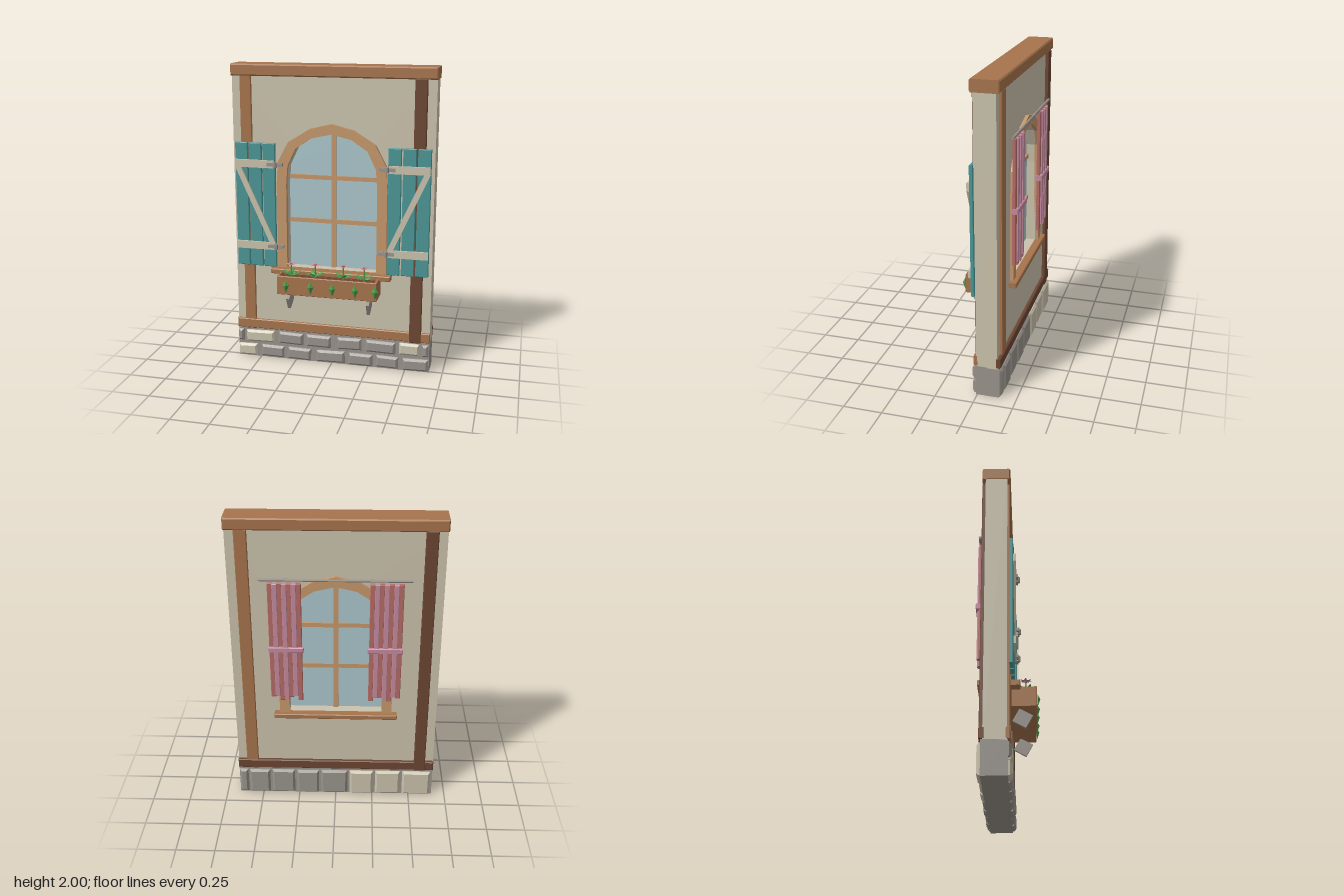
import * as THREE from 'three';

const mat = (name, color, opts = {}) => {
  const m = new THREE.MeshStandardMaterial({ color, flatShading: true, side: THREE.DoubleSide, ...opts });
  m.name = name;
  return m;
};
const M = {
  cream: mat('cream plaster', 0xcac2ac),
  brown: mat('brown wood', 0xa6744c),
  dark: mat('dark wood', 0x6c4633),
  light: mat('light wood', 0xc5976a),
  teal: mat('teal paint', 0x4c9696),
  glass: mat('glass blue', 0xaac6cb),
  stone: mat('grey stone', 0x99938c),
  pink: mat('mauve pink', 0xc48a9f),
  rose: mat('rose red', 0xb56b66),
  green: mat('leaf green', 0x4f9a48),
};

function add(parent, name, geo, material, x = 0, y = 0, z = 0) {
  const m = new THREE.Mesh(geo, material);
  m.name = name;
  m.position.set(x, y, z);
  parent.add(m);
  return m;
}

// Box given by its bounds, with optional chamfered edges
function box(parent, name, material, [x0, x1], [y0, y1], [z0, z1], c = 0) {
  const w = x1 - x0, h = y1 - y0, d = z1 - z0;
  let g;
  if (c) {
    const a = w / 2 - c, b = h / 2 - c;
    const s = new THREE.Shape([[-a, -b], [a, -b], [a, b], [-a, b]].map(p => new THREE.Vector2(...p)));
    g = new THREE.ExtrudeGeometry(s, { depth: d - 2 * c, bevelEnabled: true, bevelSize: c, bevelThickness: c, bevelSegments: 1 });
    g.translate(0, 0, c - d / 2);
  } else g = new THREE.BoxGeometry(w, h, d);
  return add(parent, name, g, material, (x0 + x1) / 2, (y0 + y1) / 2, (z0 + z1) / 2);
}

// Arched outline from a half profile running from the springing to the crown
const OUTER = [[0.365, 1.23], [0.355, 1.38], [0.285, 1.51], [0.14, 1.6], [0, 1.635]];
const INNER = [[0.3, 1.23], [0.29, 1.355], [0.235, 1.47], [0.13, 1.54], [0, 1.57]];
function arch(half, bottom) {
  const pts = [[half[0][0], bottom], ...half];
  const left = pts.slice(0, -1).reverse().map(([x, y]) => [-x, y]);
  return [...pts, ...left].map(p => new THREE.Vector2(...p));
}
const extrude = (shape, z0, z1) =>
  new THREE.ExtrudeGeometry(shape, { depth: z1 - z0, bevelEnabled: false }).translate(0, 0, z0);

// Pointed leaf along +z with a raised rib
function leafGeo(w, l, h) {
  const b = [0, 0, 0], p = [-w, 0, 0.4 * l], q = [w, 0, 0.4 * l], r = [0, h, 0.4 * l], t = [0, 0, l];
  const tris = [b, p, r, p, t, r, b, r, q, r, t, q];
  const g = new THREE.BufferGeometry();
  g.setAttribute('position', new THREE.Float32BufferAttribute(tris.flat(), 3));
  g.computeVertexNormals();
  return g;
}

function buildWall(root) {
  const g = new THREE.Group();
  g.name = 'wall';
  root.add(g);
  const s = new THREE.Shape([[-0.66, 0.2], [0.66, 0.2], [0.66, 1.93], [-0.66, 1.93]].map(p => new THREE.Vector2(...p)));
  s.holes.push(new THREE.Path(arch(INNER, 0.665)));
  add(g, 'plasterWall', extrude(s, -0.13, 0.005), M.cream);

  // Timber beams and posts
  box(g, 'topBeam', M.brown, [-0.665, 0.665], [1.925, 2], [-0.152, 0.025], 0.008);
  box(g, 'frontBottomBeam', M.brown, [-0.662, 0.662], [0.21, 0.275], [-0.005, 0.024], 0.005);
  box(g, 'backBottomBeam', M.dark, [-0.662, 0.662], [0.21, 0.275], [-0.152, -0.12], 0.005);
  box(g, 'frontRightPost', M.brown, [-0.605, -0.53], [0.205, 1.93], [-0.005, 0.02], 0.004);
  box(g, 'frontLeftPost', M.dark, [0.525, 0.603], [0.205, 1.93], [-0.005, 0.027], 0.004);
  box(g, 'backLeftPost', M.brown, [0.525, 0.603], [0.205, 1.93], [-0.148, -0.12], 0.004);
  box(g, 'backRightPost', M.dark, [-0.605, -0.53], [0.205, 1.93], [-0.154, -0.12], 0.004);

  // Stone footing
  box(g, 'footing', M.stone, [-0.66, 0.66], [0, 0.205], [-0.14, 0.01]);
  const upper = [[-0.66, -0.62], [-0.6, -0.4], [-0.37, -0.2], [-0.175, -0.005], [0.04, 0.205], [0.235, 0.435], [0.46, 0.595], [0.612, 0.655]];
  const lower = [[-0.655, -0.525], [-0.495, -0.335], [-0.305, -0.145], [-0.105, 0.09], [0.12, 0.28], [0.305, 0.455], [0.485, 0.655]];
  const back = [[0.6, 0.658], [0.45, 0.59], [0.28, 0.435], [0.115, 0.265], [-0.08, 0.1], [-0.255, -0.095], [-0.44, -0.27], [-0.645, -0.455]];
  const stone = (name, cream, xs, ys, zs, tilt) => {
    box(g, name, cream ? M.cream : M.stone, xs, ys, zs, 0.014).rotation.z = tilt;
  };
  upper.forEach((xs, i) => stone('upperStone', i === 1 || i === 6, xs, [0.112, 0.194], [-0.02, 0.03 + 0.005 * (i % 2)], 0.03 * Math.sin(i * 2)));
  lower.forEach((xs, i) => stone('lowerStone', i === 0, xs, [0.008, 0.09], [-0.02, 0.035 - 0.005 * (i % 2)], 0.03 * Math.cos(i * 2)));
  back.forEach((xs, i) => stone('backStone', i === 5 || i === 6 || i === 7, xs, [0.008, 0.192], [-0.158 - 0.004 * (i % 2), -0.1], 0));
}

function buildWindow(root) {
  const g = new THREE.Group();
  g.name = 'window';
  root.add(g);
  // Arched trim on both sides
  for (const [name, z0, z1] of [['frontFrame', -0.005, 0.03], ['backFrame', -0.152, -0.12]]) {
    const outline = [...arch(OUTER, 0.66), ...arch(INNER, 0.66).reverse()];
    add(g, name, extrude(new THREE.Shape(outline), z0, z1), M.light);
  }
  add(g, 'glass', extrude(new THREE.Shape(arch(INNER, 0.665)), -0.066, -0.06), M.glass);
  box(g, 'mullion', M.light, [-0.015, 0.015], [0.665, 1.57], [-0.08, -0.046]);
  for (const y of [0.98, 1.273]) box(g, 'crossbar', M.light, [-0.3, 0.3], [y - 0.014, y + 0.014], [-0.078, -0.048]);
  box(g, 'frontSill', M.brown, [-0.4, 0.4], [0.633, 0.667], [0, 0.077], 0.005);
  box(g, 'backSill', M.brown, [-0.4, 0.4], [0.633, 0.667], [-0.18, -0.125], 0.005);
}

function buildShutter(root, s) {
  const g = new THREE.Group();
  g.name = s > 0 ? 'leftShutter' : 'rightShutter';
  root.add(g);
  const span = (a, b) => (s > 0 ? [a, b] : [-b, -a]);
  [0.37, 0.463, 0.556].forEach((x, i) =>
    box(g, 'board', M.teal, span(x, x + 0.084), [0.67, 1.5], [0.022 - 0.003 * i, 0.046 - 0.003 * i], 0.004));
  for (const y of [0.815, 1.365]) {
    box(g, 'batten', M.cream, span(0.375, 0.637), [y - 0.025, y + 0.025], [0.04, 0.056]);
    box(g, 'hinge', M.stone, span(0.315, 0.42), [y - 0.011, y + 0.011], [0.054, 0.065]);
    add(g, 'hingePin', new THREE.CylinderGeometry(0.014, 0.014, 0.036, 8), M.stone, s * 0.365, y, 0.064);
    box(g, 'hingeMount', M.stone, span(0.318, 0.345), [y - 0.009, y + 0.009], [0.02, 0.06]);
  }
  // Diagonal brace from outer top to inner bottom
  const dx = 0.225, dy = 0.5;
  const brace = add(g, 'brace', new THREE.BoxGeometry(0.036, Math.hypot(dx, dy) + 0.02, 0.014), M.cream, s * 0.505, 1.09, 0.048);
  brace.rotation.z = -s * Math.atan2(dx, dy);
}

function buildFlowerBox(root) {
  const g = new THREE.Group();
  g.name = 'flowerBox';
  root.add(g);
  const X = [-0.33, 0.33], Y = [0.527, 0.652];
  box(g, 'boxFront', M.brown, X, Y, [0.16, 0.175], 0.003);
  box(g, 'boxBack', M.brown, X, Y, [0.022, 0.037]);
  box(g, 'boxFloor', M.brown, X, [0.527, 0.54], [0.025, 0.17]);
  for (const s of [-1, 1]) {
    box(g, 'boxEnd', M.brown, s > 0 ? [0.315, 0.33] : [-0.33, -0.315], Y, [0.025, 0.172]);
    // Tilted square bracket
    add(g, 'bracket', new THREE.BoxGeometry(0.02, 0.09, 0.092), M.stone, s * 0.267, 0.47, 0.088).rotation.x = 0.5;
  }
  box(g, 'soil', M.dark, [-0.316, 0.316], [0.54, 0.62], [0.036, 0.161]);

  // Leaves hanging over the front
  const hanging = leafGeo(0.022, 0.088, 0.018);
  for (const x of [-0.27, -0.105, 0.04, 0.19, 0.32])
    add(g, 'hangingLeaf', hanging, M.green, x, 0.628, 0.177).rotation.x = Math.PI / 2;

  // Flowering plants
  const leaf = leafGeo(0.023, 0.075, 0.01), petal = leafGeo(0.012, 0.042, 0.004);
  [[-0.25, 0.108], [-0.09, 0.098], [0.095, 0.085], [0.235, 0.098]].forEach(([x, z], k) => {
    const p = new THREE.Group();
    p.name = 'plant';
    p.position.set(x, 0, z);
    p.rotation.y = k * 0.7;
    g.add(p);
    add(p, 'stem', new THREE.CylinderGeometry(0.005, 0.007, 0.1, 6), M.green, 0, 0.665, 0);
    for (let i = 0; i < 6; i++) {
      const a = (i / 6) * Math.PI * 2;
      const l = add(p, 'leaf', leaf, M.green, 0, 0.64, 0);
      l.rotation.set(-0.4 - 0.15 * (i % 2), a, 0, 'YXZ');
      add(p, 'petal', petal, M.pink, 0, 0.714, 0).rotation.set(-0.25, a + 0.5, 0, 'YXZ');
    }
    add(p, 'flowerCentre', new THREE.CylinderGeometry(0.01, 0.007, 0.014, 6), M.rose, 0, 0.718, 0);
  });
}

function buildCurtains(root) {
  const g = new THREE.Group();
  g.name = 'curtains';
  root.add(g);
  const rod = add(g, 'curtainRod', new THREE.CylinderGeometry(0.009, 0.009, 0.93, 8), M.stone, 0, 1.622, -0.172);
  rod.rotation.z = Math.PI / 2;
  for (const s of [-1, 1]) {
    // Alternating folds, held by a tie band
    for (let i = 0; i < 7; i++) {
      const x = s * (0.225 + i * 0.029), odd = i % 2;
      box(g, 'curtainFold', odd ? M.pink : M.rose, [x - 0.0155, x + 0.0155],
        [0.775 + 0.012 * ((i * 3) % 4), 1.6], odd ? [-0.187, -0.165] : [-0.177, -0.155], 0.003);
    }
    box(g, 'tieBand', M.pink, s > 0 ? [0.2, 0.42] : [-0.42, -0.2], [1.135, 1.17], [-0.195, -0.153], 0.004);
  }
}

export function createModel() {
  const root = new THREE.Group();
  root.name = 'shutteredWindowWall';
  buildWall(root);
  buildWindow(root);
  buildShutter(root, 1);
  buildShutter(root, -1);
  buildFlowerBox(root);
  buildCurtains(root);
  return root;
}
